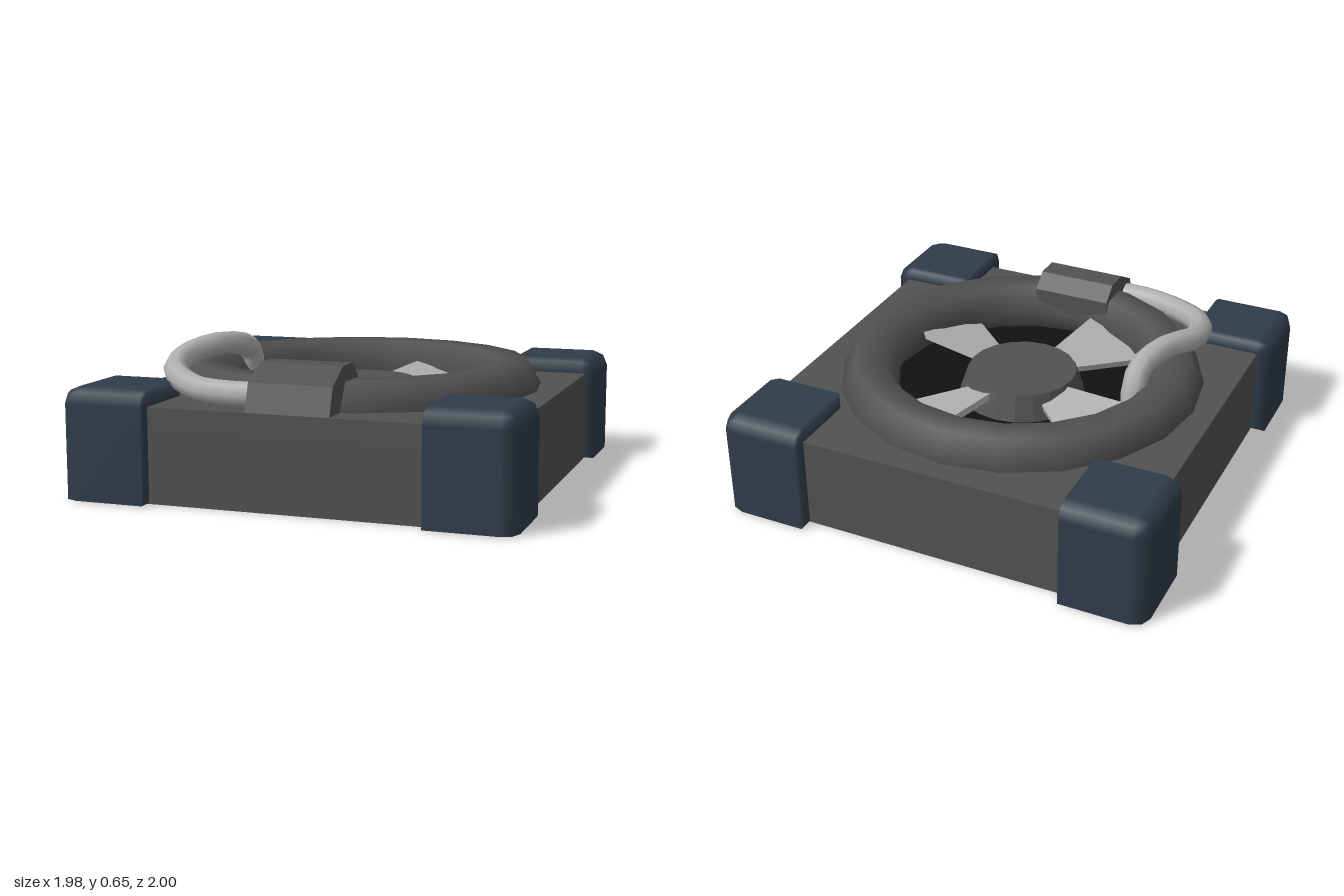
import * as THREE from 'three';
import { RoundedBoxGeometry } from 'three/addons/geometries/RoundedBoxGeometry.js';

const mat = (color, opts = {}) => new THREE.MeshStandardMaterial({ color, ...opts });

export function createModel() {
  const model = new THREE.Group();
  const dark = mat(0x525252);
  const darkFlat = mat(0x525252, { flatShading: true });
  const black = mat(0x111111);
  const metal = mat(0xb0b0b0);
  const blue = mat(0x303c4a);
  const CX = 0.01, TOP = 0.415, FLOOR = 0.32, HALF = 0.93;

  const add = (name, geometry, material, x = 0, y = 0, z = 0, parent = model) => {
    const mesh = new THREE.Mesh(geometry, material);
    mesh.name = name;
    mesh.position.set(x, y, z);
    parent.add(mesh);
    return mesh;
  };

  // Housing: solid lower slab and an upper frame with a round well
  add('housingBase', new THREE.BoxGeometry(2 * HALF, FLOOR, 2 * HALF), dark, CX, FLOOR / 2, 0);
  const frame = new THREE.Shape([[-HALF, -HALF], [HALF, -HALF], [HALF, HALF], [-HALF, HALF]]
    .map(([x, y]) => new THREE.Vector2(x, y)));
  frame.holes.push(new THREE.Path().absarc(0, 0, 0.66, 0, Math.PI * 2, true));
  const frameGeometry = new THREE.ExtrudeGeometry(frame, {
    depth: TOP - FLOOR, bevelEnabled: false, curveSegments: 20 });
  frameGeometry.rotateX(-Math.PI / 2);
  add('housingFrame', frameGeometry, dark, CX, FLOOR, 0);

  // Black lining of the well
  add('wellFloor', new THREE.CircleGeometry(0.66, 20).rotateX(-Math.PI / 2), black, CX, FLOOR + 0.003, 0);
  add('wellWall', new THREE.CylinderGeometry(0.655, 0.655, TOP - FLOOR, 20, 1, true),
    mat(0x111111, { side: THREE.DoubleSide }), CX, (TOP + FLOOR) / 2, 0);

  // Ring around the fan
  add('ring', new THREE.TorusGeometry(0.7, 0.132, 6, 20).rotateX(-Math.PI / 2).rotateY(Math.PI / 2),
    dark, CX, 0.42, 0);

  // Fan: tapered hub and four pitched blades
  const fan = new THREE.Group();
  fan.name = 'fan';
  fan.position.x = CX;
  model.add(fan);
  add('hub', new THREE.CylinderGeometry(0.25, 0.29, 0.12, 20), darkFlat, 0, 0.38, 0, fan);
  const halfAngle = THREE.MathUtils.degToRad(18);
  const corner = (r, a) => new THREE.Vector2(r * Math.cos(a), r * Math.sin(a));
  const bladeShape = new THREE.Shape([corner(0.22, -halfAngle), corner(0.63, -halfAngle),
    corner(0.64, 0), corner(0.63, halfAngle), corner(0.22, halfAngle)]);
  const bladeGeometry = new THREE.ExtrudeGeometry(bladeShape, { depth: 0.03, bevelEnabled: false });
  bladeGeometry.translate(0, 0, -0.015).rotateX(-Math.PI / 2).rotateX(THREE.MathUtils.degToRad(12));
  for (let i = 0; i < 4; i++) {
    const blade = add('blade', bladeGeometry, metal, 0, 0.395, 0, fan);
    blade.rotation.y = THREE.MathUtils.degToRad(62.5 + 90 * i);
  }

  // Corner guards: rounded on the outer edges, cut square on the inner ones and below
  const S = 0.38, H = 0.485, R = 0.07;
  for (const sx of [-1, 1]) for (const sz of [-1, 1]) {
    const g = new RoundedBoxGeometry(S + R, H + R, S + R, 1, R);
    g.translate(sx * (0.99 - (S + R) / 2), 0.49 - (H + R) / 2, sz * (1 - (S + R) / 2));
    const p = g.attributes.position;
    for (let i = 0; i < p.count; i++) {
      p.setXYZ(i, sx * Math.max(sx * p.getX(i), 0.99 - S),
        Math.max(p.getY(i), 0.49 - H), sz * Math.max(sz * p.getZ(i), 1 - S));
    }
    add('cornerGuard', g, blue);
  }

  // Clamp over the front of the ring
  const clamp = new THREE.Shape([[-0.925, 0.41], [-0.885, 0.535], [-0.76, 0.603], [-0.645, 0.603],
    [-0.575, 0.54], [-0.575, 0.41]].reverse().map(([z, y]) => new THREE.Vector2(z, y)));
  const clampGeometry = new THREE.ExtrudeGeometry(clamp, { depth: 0.37, bevelEnabled: false });
  clampGeometry.rotateY(Math.PI / 2);
  add('clamp', clampGeometry, darkFlat, -0.17, 0, 0);

  // Hose from the clamp, arching over the ring into the fan well
  const path = new THREE.CatmullRomCurve3([
    [-0.1, 0.475, 0.83], [-0.27, 0.475, 0.83], [-0.44, 0.48, 0.78], [-0.63, 0.52, 0.61],
    [-0.68, 0.565, 0.38], [-0.61, 0.597, 0.2], [-0.56, 0.575, 0.03], [-0.565, 0.52, -0.08],
    [-0.575, 0.42, -0.1],
  ].map((v) => new THREE.Vector3(...v)));
  add('hose', new THREE.TubeGeometry(path, 18, 0.055, 8), mat(0xb0b0b0, { side: THREE.DoubleSide }));

  return model;
}
